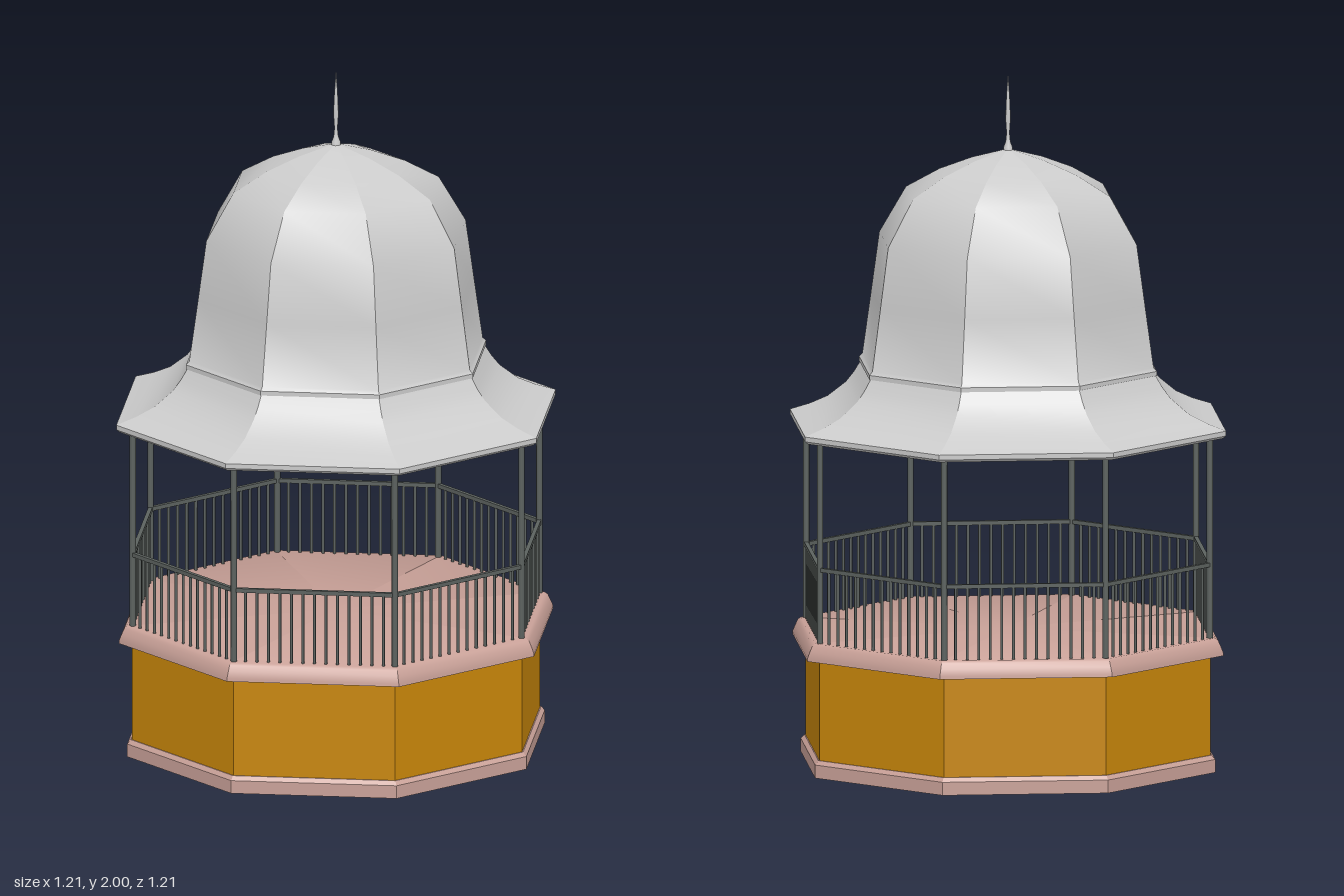
import * as THREE from 'three';
import { mergeGeometries, toCreasedNormals } from 'three/addons/utils/BufferGeometryUtils.js';

const SIDES = 8;
const STEP = (Math.PI * 2) / SIDES;
const CORNER = 1 / Math.cos(STEP / 2); // apothem to corner radius

const GREY = new THREE.MeshStandardMaterial({ color: 0xcccccc });
const PINK = new THREE.MeshStandardMaterial({ color: 0xc9a198 });
const OCHRE = new THREE.MeshStandardMaterial({ color: 0xc8860a });
const IRON = new THREE.MeshStandardMaterial({ color: 0x5c625f });

// Octagonal solid from [apothem, y] pairs, smooth along the profile, sharp at the hips
function octagon(name, profile, material, crease = 0.65) {
  const points = profile.map(([a, y]) => new THREE.Vector2(a * CORNER, y));
  const sectors = [];
  for (let i = 0; i < SIDES; i++) {
    const sector = new THREE.LatheGeometry(points, 1, (i - 0.5) * STEP, STEP);
    sectors.push(toCreasedNormals(sector, crease));
  }
  const mesh = new THREE.Mesh(mergeGeometries(sectors), material);
  mesh.name = name;
  return mesh;
}

function part(name, geometry, material, x, y, z) {
  const mesh = new THREE.Mesh(geometry, material);
  mesh.name = name;
  mesh.position.set(x, y, z);
  return mesh;
}

export function createModel() {
  const model = new THREE.Group();
  model.name = 'bandstand';

  // Base: plinth, wall and deck with a moulded rim
  model.add(octagon('plinth', [[0, 0], [0.575, 0], [0.575, 0.038], [0.565, 0.05], [0, 0.05]], PINK));
  model.add(octagon('baseWall', [[0.562, 0.045], [0.562, 0.345]], OCHRE));
  model.add(octagon('deck', [
    [0, 0.34], [0.598, 0.34], [0.598, 0.348], [0.59, 0.368], [0.583, 0.384], [0.575, 0.39], [0, 0.39],
  ], PINK));

  // Posts on the corners, and a railing along every side
  const apothem = 0.56;
  const half = apothem * Math.tan(STEP / 2);
  const railY = 0.603;
  const balusters = 13;
  const postGeo = new THREE.CylinderGeometry(0.009, 0.009, 0.59, 8);
  const railGeo = new THREE.BoxGeometry(half * 2, 0.012, 0.012);
  const balusterGeo = new THREE.CylinderGeometry(0.0045, 0.0045, railY - 0.385, 6);
  for (let i = 0; i < SIDES; i++) {
    const side = new THREE.Group();
    side.name = 'railingSide';
    side.rotation.y = i * STEP;
    side.add(part('post', postGeo, IRON, half, 0.68, apothem));
    side.add(part('handrail', railGeo, IRON, 0, railY, apothem));
    for (let j = 1; j <= balusters; j++) {
      const x = -half + (j * half * 2) / (balusters + 1);
      side.add(part('baluster', balusterGeo, IRON, x, (railY + 0.385) / 2, apothem));
    }
    model.add(side);
  }

  // Flared skirt of the roof with a flat ceiling
  model.add(octagon('roofSkirt', [
    [0, 0.97], [0.596, 0.97], [0.605, 0.978], [0.605, 0.992], [0.55, 1.012], [0.5, 1.037],
    [0.45, 1.08], [0.428, 1.11], [0.408, 1.145],
  ], GREY));

  // Bell-shaped dome
  model.add(octagon('dome', [
    [0.395, 1.14], [0.413, 1.142], [0.413, 1.155], [0.404, 1.165], [0.38, 1.345], [0.357, 1.52],
    [0.283, 1.655], [0.19, 1.712], [0.1, 1.75], [0, 1.78],
  ], GREY));

  // Slender finial
  const finial = [[0.014, 1.77], [0.013, 1.785], [0.007, 1.8], [0.0045, 1.825], [0.007, 1.86],
    [0.0065, 1.9], [0.003, 1.96], [0, 2]].map(([r, y]) => new THREE.Vector2(r, y));
  model.add(part('finial', new THREE.LatheGeometry(finial, 10), GREY, 0, 0, 0));

  return model;
}
